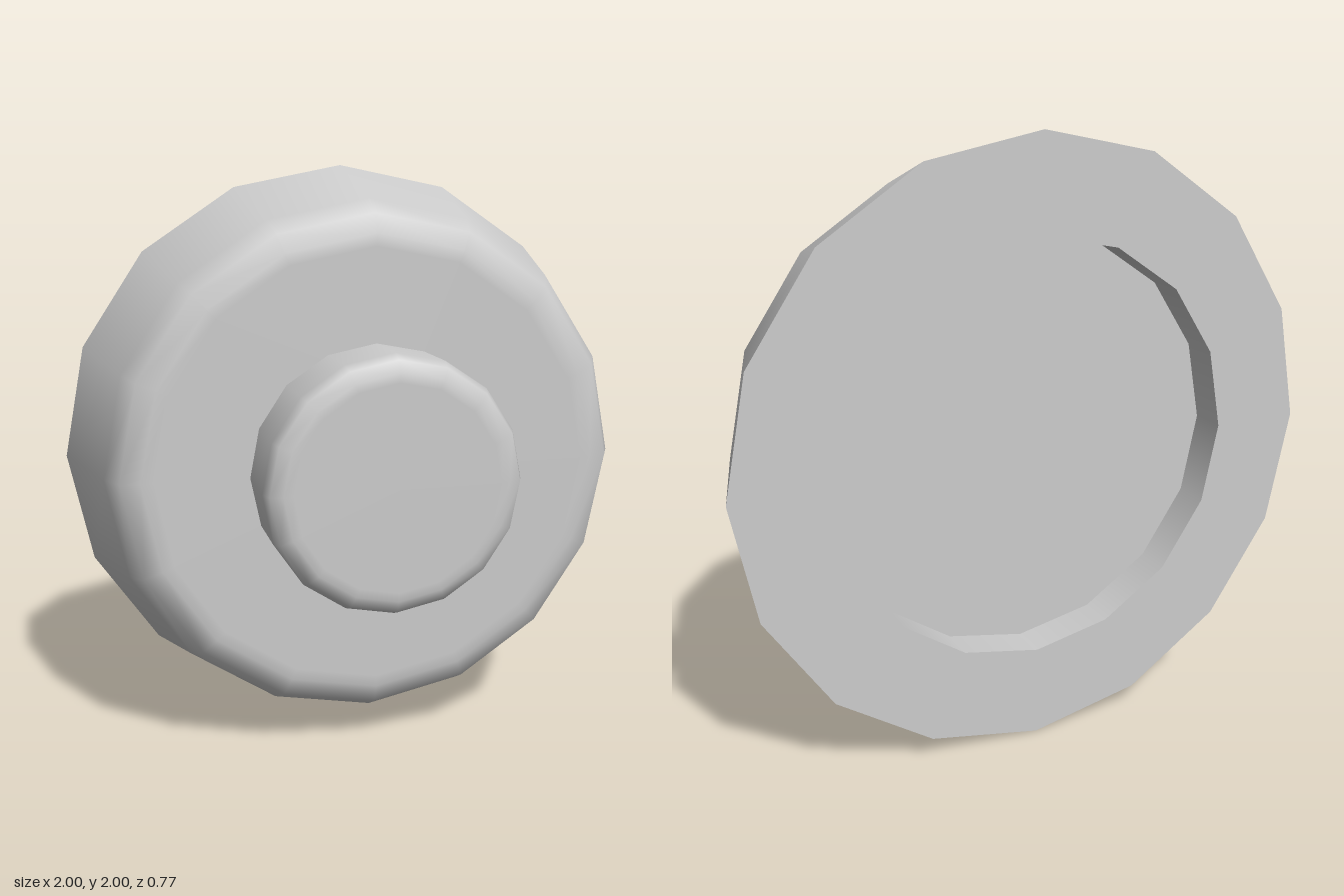
import * as THREE from 'three';

const SIDES = 16;
const material = new THREE.MeshStandardMaterial({ color: 0xcccccc });

// Revolves [radius, z] points around the z axis, running from back to front
function turned(name, profile) {
  const points = profile.map(([r, z]) => new THREE.Vector2(r, z));
  const geometry = new THREE.LatheGeometry(points, SIDES);
  geometry.rotateX(Math.PI / 2);
  const mesh = new THREE.Mesh(geometry, material);
  mesh.name = name;
  return mesh;
}

export function createModel() {
  const model = new THREE.Group();
  model.name = 'roundKnob';

  // Tapered body with a rounded front edge
  model.add(turned('body', [
    [1, -0.383], [0.89, 0.01], [0.845, 0.09], [0.78, 0.11], [0.74, 0.11], [0.4, 0.11],
  ]));

  // Central button with a softened front edge
  model.add(turned('button', [
    [0.427, 0.1], [0.427, 0.33], [0.41, 0.37], [0.37, 0.385], [0.34, 0.385], [0, 0.385],
  ]));

  // Back: flat rim and shallow recess, each with crisp edges
  model.add(turned('backRim', [[0.69, -0.383], [1, -0.383]]));
  model.add(turned('recessWall', [[0.69, -0.26], [0.69, -0.383]]));
  model.add(turned('recessFloor', [[0, -0.26], [0.69, -0.26]]));

  for (const part of model.children) part.position.y = 1;
  return model;
}
